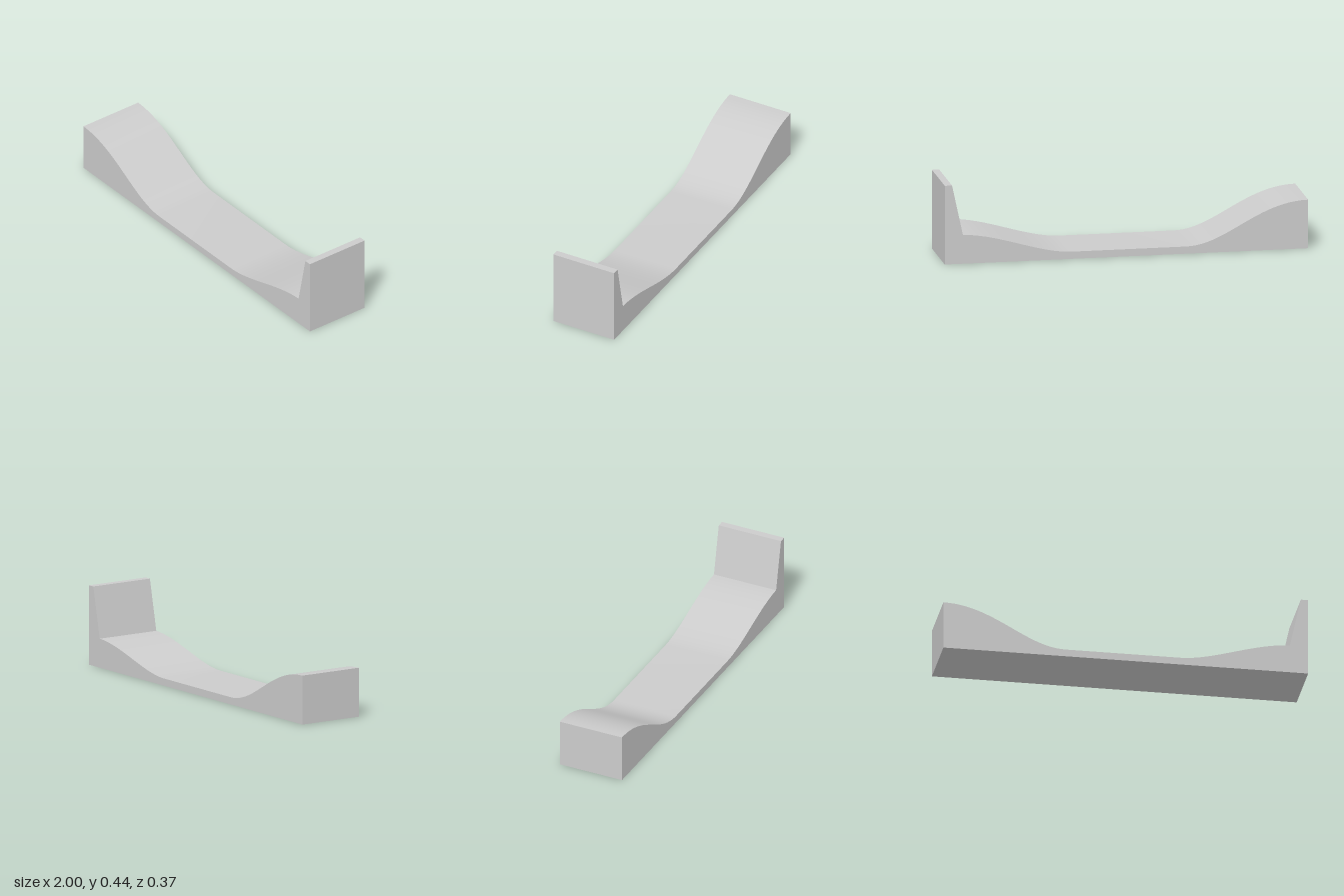
import * as THREE from 'three';
import { toCreasedNormals } from 'three/addons/utils/BufferGeometryUtils.js';

export function createModel() {
  const model = new THREE.Group();
  const depth = 0.374;

  // Side profile: tall hump, flat dip, low rise and an upright end stop
  const profile = new THREE.Shape();
  profile.moveTo(-1, 0);
  profile.lineTo(1, 0);
  profile.lineTo(1, 0.438);
  profile.lineTo(0.96, 0.438);
  profile.lineTo(0.9, 0.16);
  profile.bezierCurveTo(0.7, 0.155, 0.48, 0.04, 0.3, 0.04);
  profile.lineTo(-0.33, 0.04);
  profile.bezierCurveTo(-0.55, 0.04, -0.72, 0.27, -1, 0.27);
  profile.closePath();

  // Extrude across the width, smooth along the curves and sharp at the corners
  const geometry = new THREE.ExtrudeGeometry(profile, {
    depth, bevelEnabled: false, curveSegments: 24,
  });
  geometry.translate(0, 0, -depth / 2);

  const body = new THREE.Mesh(
    toCreasedNormals(geometry, Math.PI / 6),
    new THREE.MeshStandardMaterial({ color: 0xcccccc }),
  );
  body.name = 'curvedRestWithEndStop';
  model.add(body);
  return model;
}
